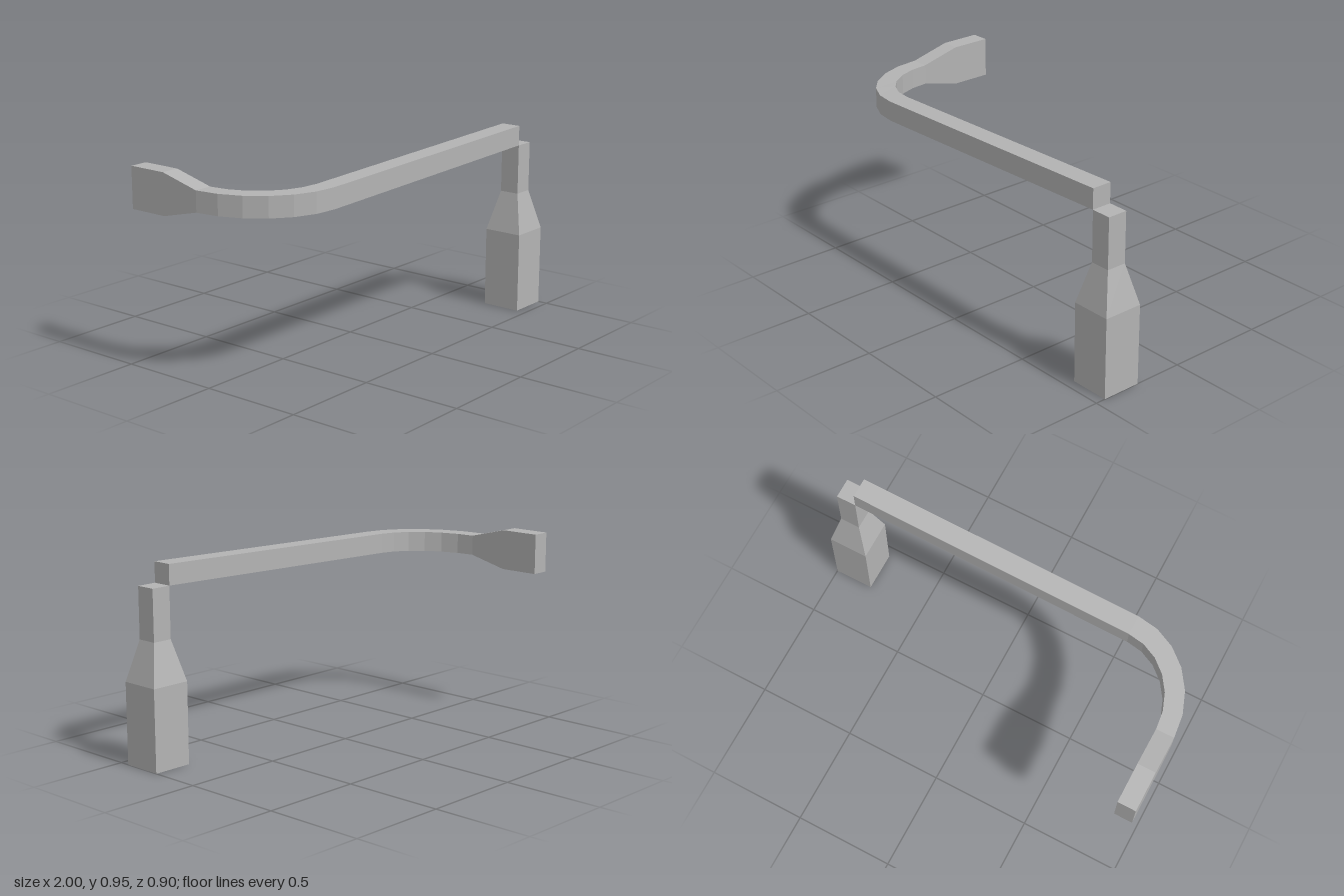
import * as THREE from 'three';

// Skin a row of four-cornered sections; corners run counter-clockwise seen from the far end
function loft(rings, capStart, capEnd) {
  const pos = [];
  const quad = (a, b, c, d) => pos.push(...a, ...b, ...c, ...a, ...c, ...d);
  for (let i = 0; i < rings.length - 1; i++) {
    for (let j = 0; j < 4; j++) {
      const k = (j + 1) % 4;
      quad(rings[i][j], rings[i][k], rings[i + 1][k], rings[i + 1][j]);
    }
  }
  const first = rings[0], last = rings[rings.length - 1];
  if (capStart) quad(first[3], first[2], first[1], first[0]);
  if (capEnd) quad(last[0], last[1], last[2], last[3]);
  const geo = new THREE.BufferGeometry();
  geo.setAttribute('position', new THREE.Float32BufferAttribute(pos, 3));
  geo.computeVertexNormals();
  return geo;
}

// Square section of the upright post at height y
const postRing = (y, h) => [
  [0.9 - h, y, 0.35 + h], [0.9 + h, y, 0.35 + h],
  [0.9 + h, y, 0.35 - h], [0.9 - h, y, 0.35 - h],
];

// Upright section of the rail between an outer and an inner plan point
const railRing = ([ox, oz], [ix, iz], y, h) => [
  [ox, y - h, oz], [ox, y + h, oz], [ix, y + h, iz], [ix, y - h, iz],
];

export function createModel() {
  const group = new THREE.Group();
  const grey = new THREE.MeshStandardMaterial({ color: 0xb3b3b3, flatShading: true });
  grey.name = 'grey';
  const add = (name, geo) => {
    const mesh = new THREE.Mesh(geo, grey);
    mesh.name = name;
    group.add(mesh);
  };

  // Post: wide foot tapering to a narrow neck
  add('post', loft([
    postRing(0, 0.1), postRing(0.4, 0.1), postRing(0.6, 0.05), postRing(0.85, 0.05),
  ], true, true));

  // Quarter bend in six steps, sinking slightly toward the back
  const bend = [];
  for (let i = 0; i <= 6; i++) {
    const t = (i / 6) * Math.PI / 2;
    const s = Math.sin(t), c = Math.cos(t);
    bend.push(railRing(
      [-0.6 - 0.4 * s, -0.05 + 0.45 * c],
      [-0.6 - 0.31 * s, -0.05 + 0.35 * c],
      0.861 - 0.008 * s, 0.05));
  }

  // Long sloping rail, meeting the post at one edge
  add('rail', loft([railRing([0.85, 0.4], [0.85, 0.3], 0.9, 0.05), bend[0]], true, false));
  add('bend', loft(bend, false, false));

  // End that flares to double height
  add('flaredEnd', loft([
    bend[6],
    railRing([-1, -0.25], [-0.91, -0.25], 0.854, 0.1),
    railRing([-1, -0.45], [-0.91, -0.45], 0.854, 0.1),
  ], false, true));

  return group;
}
